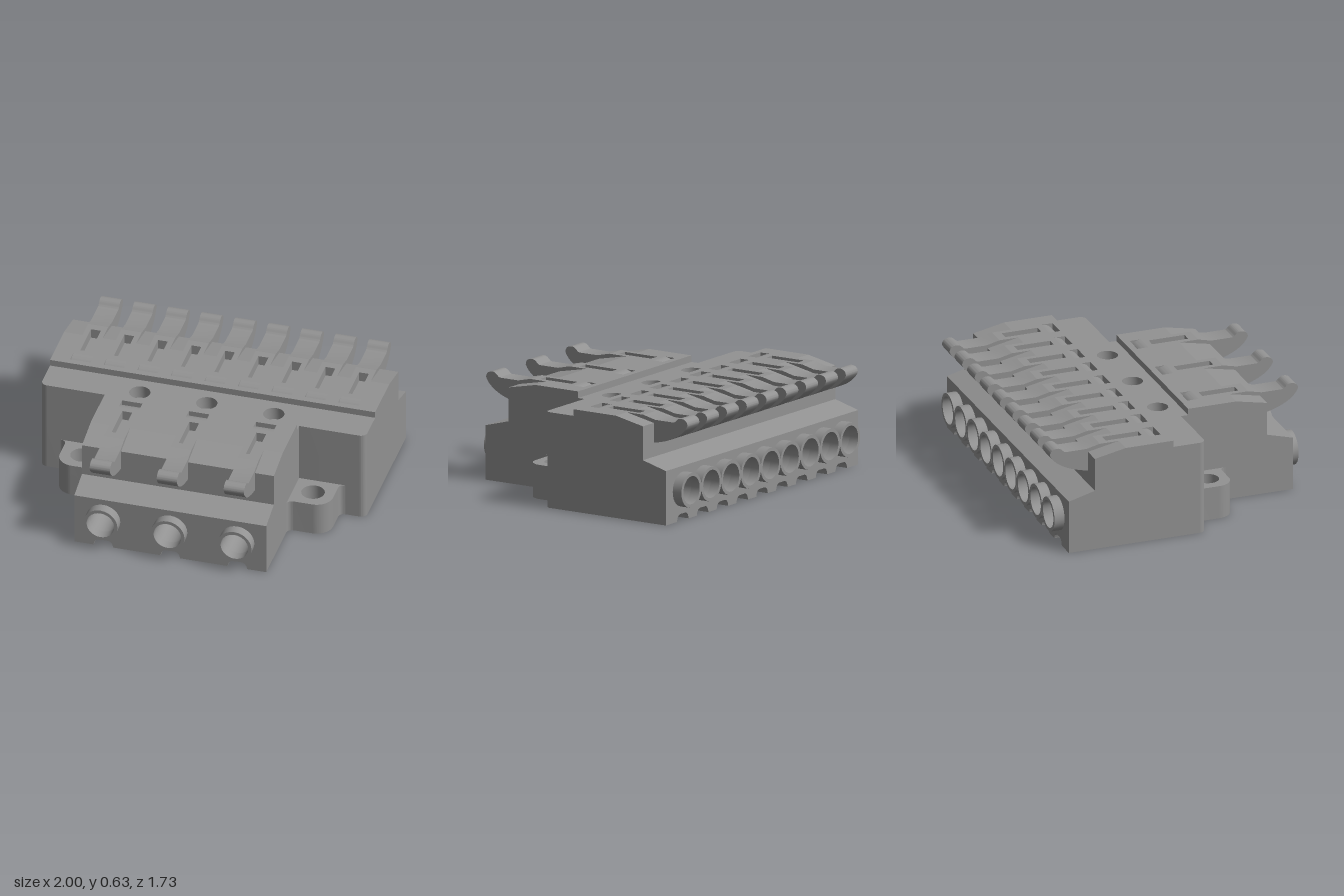
import * as THREE from 'three';
import { toCreasedNormals } from 'three/addons/utils/BufferGeometryUtils.js';

const grey = new THREE.MeshStandardMaterial({ color: 0x929292 });
grey.name = 'housing grey';

const PITCH = 0.206, PORT_Y = 0.19, PORT_R = 0.085, LEVER = 0.0625;
const frontXs = [-2, 0, 2].map(i => i * PITCH);
const backXs = [-4, -3, -2, -1, 0, 1, 2, 3, 4].map(i => i * PITCH);

const poly = pts => new THREE.Shape(pts.map(p => new THREE.Vector2(p[0], p[1])));
const rect = (x0, x1, y0, y1) => poly([[x0, y0], [x1, y0], [x1, y1], [x0, y1]]);
const circle = (x, y, r) => new THREE.Path().absarc(x, y, r, 0, Math.PI * 2, true);

function extrude(shape, depth) {
  return new THREE.ExtrudeGeometry(shape, { depth, bevelEnabled: false, curveSegments: 14 });
}
function add(group, name, geometry) {
  const mesh = new THREE.Mesh(toCreasedNormals(geometry, 0.6), grey);
  mesh.name = name;
  group.add(mesh);
}
// shape in (x, y), swept along z
const alongZ = (shape, z0, z1) => extrude(shape, z1 - z0).translate(0, 0, z0);
// shape in (-z, y), swept along x
const alongX = (shape, x0, x1) => extrude(shape, x1 - x0).rotateY(Math.PI / 2).translate(x0, 0, 0);
// shape in (x, -z), swept upward
const alongY = (shape, y0, y1) => extrude(shape, y1 - y0).rotateX(-Math.PI / 2).translate(0, y0, 0);
// closed profile given as (z, y) points
const profile = pts => poly(pts.map(([z, y]) => [-z, y]));

// Rectangle with wire ports, optionally with rounded grooves in the bottom edge
function portWall(half, top, xs, grooves) {
  const s = new THREE.Shape();
  s.moveTo(-half, 0);
  if (grooves) for (const x of xs) {
    s.lineTo(x - 0.06, 0);
    s.quadraticCurveTo(x - 0.055, 0.04, x - 0.025, 0.042);
    s.lineTo(x + 0.025, 0.042);
    s.quadraticCurveTo(x + 0.055, 0.04, x + 0.06, 0);
  }
  s.lineTo(half, 0);
  s.lineTo(half, top);
  s.lineTo(-half, top);
  s.closePath();
  xs.forEach(x => s.holes.push(circle(x, PORT_Y, PORT_R)));
  return s;
}

// Spring lever: flat arm, raised thumb bump and curved underside
function leverShape() {
  const s = new THREE.Shape();
  s.moveTo(-0.55, 0.56);
  s.lineTo(-0.55, 0.62);
  s.lineTo(-0.635, 0.6);
  s.lineTo(-0.765, 0.6);
  s.bezierCurveTo(-0.785, 0.602, -0.79, 0.63, -0.82, 0.63);
  s.bezierCurveTo(-0.845, 0.63, -0.866, 0.618, -0.866, 0.592);
  s.bezierCurveTo(-0.845, 0.54, -0.77, 0.485, -0.625, 0.46);
  s.lineTo(-0.625, 0.56);
  s.closePath();
  return s;
}

// Curved ramp filling the pocket behind each lever
function rampShape() {
  const s = new THREE.Shape();
  s.moveTo(-0.165, 0.56);
  s.quadraticCurveTo(-0.17, 0.615, -0.235, 0.62);
  s.lineTo(-0.235, 0.56);
  s.closePath();
  return s;
}

// One row of terminals facing +z
function terminalRow(name, xs, half) {
  const row = new THREE.Group();
  row.name = name;
  add(row, 'lowerHousing', alongZ(portWall(half, 0.33, xs, false), 0.125, 0.58));
  add(row, 'groovedEdge', alongZ(portWall(half, 0.33, xs, true), 0.58, 0.79));
  add(row, 'upperHousing', alongX(profile(
    [[0.125, 0.33], [0.79, 0.33], [0.625, 0.375], [0.625, 0.56], [0.125, 0.56]]), -half, half));

  // Top plate with a tongue, slot and pocket for each lever
  const outline = [[half, -0.125], [-half, -0.125], [-half, -0.43]];
  for (const x of xs) outline.push(
    [x - LEVER, -0.43], [x - LEVER, -0.55], [x + LEVER, -0.55], [x + LEVER, -0.43]);
  outline.push([half, -0.43]);
  const plate = poly(outline);
  for (const x of xs) plate.holes.push(
    rect(x - 0.03, x + 0.03, -0.5, -0.272), rect(x - LEVER, x + LEVER, -0.235, -0.165));
  add(row, 'topPlate', alongY(plate, 0.56, 0.62));

  // Sloping shoulders between the levers
  const slope = profile([[0.43, 0.56], [0.625, 0.56], [0.625, 0.58], [0.43, 0.62]]);
  for (let i = 0; i <= xs.length; i++) {
    const x0 = i === 0 ? -half : xs[i - 1] + LEVER;
    const x1 = i === xs.length ? half : xs[i] - LEVER;
    add(row, 'slope', alongX(slope, x0, x1));
  }

  for (const x of xs) {
    add(row, 'lever', alongX(leverShape(), x - LEVER, x + LEVER));
    // Cheek closing the housing beneath the lever tongue
    add(row, 'pocketRamp', alongX(rampShape(), x - LEVER, x + LEVER));
    const ring = new THREE.Shape().absarc(x, PORT_Y, 0.105, 0, Math.PI * 2);
    ring.holes.push(circle(x, PORT_Y, PORT_R));
    add(row, 'portCollar', alongZ(ring, 0.79, 0.853));
  }
  return row;
}

// Screw ear on the +x side
function earShape() {
  const s = new THREE.Shape();
  s.moveTo(0.59, -0.08);
  s.lineTo(0.59, -0.365);
  s.quadraticCurveTo(0.59, -0.325, 0.63, -0.325);
  s.lineTo(0.74, -0.325);
  s.absarc(0.74, -0.225, 0.1, -Math.PI / 2, 0);
  s.lineTo(0.84, -0.12);
  s.quadraticCurveTo(0.84, -0.08, 0.88, -0.08);
  s.closePath();
  s.holes.push(circle(0.71, -0.2, 0.07));
  return s;
}

// Rounded front corner of the wide block, +x side
function cornerShape() {
  const s = new THREE.Shape();
  s.moveTo(0.59, -0.04);
  s.lineTo(0.59, -0.08);
  s.lineTo(0.96, -0.08);
  s.absarc(0.96, -0.04, 0.04, -Math.PI / 2, 0);
  s.closePath();
  return s;
}

const mirrored = shape => {
  const { shape: points, holes } = shape.extractPoints(14);
  const flip = list => list.map(p => new THREE.Vector2(-p.x, p.y));
  const out = new THREE.Shape(flip(points));
  out.holes = holes.map(h => new THREE.Path(flip(h)));
  return out;
};

export function createModel() {
  const model = new THREE.Group();
  model.name = 'terminalBlock';

  model.add(terminalRow('frontRow', frontXs, 0.59));
  const back = terminalRow('backRow', backXs, 1);
  back.rotation.y = Math.PI;
  model.add(back);

  // Centre of the block, pierced by the three through ports
  add(model, 'wideCore', alongZ(portWall(1, 0.5, frontXs, false), -0.125, 0.04));
  add(model, 'narrowCore', alongZ(portWall(0.59, 0.5, frontXs, false), 0.04, 0.125));

  // Channel floor with screw recesses
  const floor = poly([[-1, 0.125], [-1, -0.04], [-0.59, -0.04], [-0.59, -0.125],
    [0.59, -0.125], [0.59, -0.04], [1, -0.04], [1, 0.125]]);
  frontXs.forEach(x => floor.holes.push(circle(x, 0, 0.063)));
  add(model, 'channelFloor', alongY(floor, 0.5, 0.58));

  for (const flip of [s => s, mirrored]) {
    add(model, 'roundedCorner', alongY(flip(cornerShape()), 0, 0.58));
    add(model, 'mountingEar', alongY(flip(earShape()), 0, 0.207));
  }
  return model;
}
